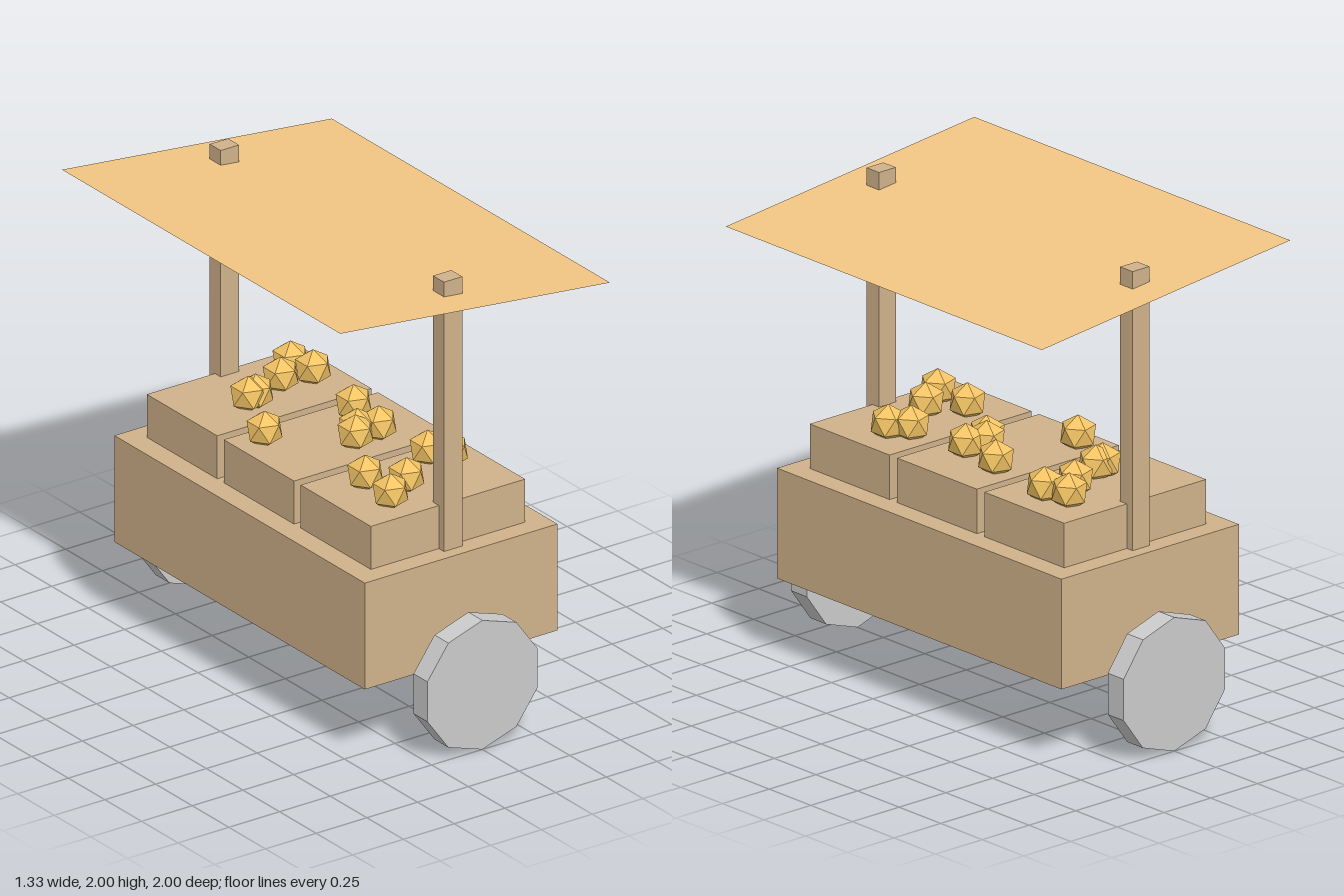
import * as THREE from 'three';

const material = (color, side = THREE.FrontSide) =>
  new THREE.MeshStandardMaterial({ color, side, flatShading: true });

export function createModel() {
  const cart = new THREE.Group();
  cart.name = 'marketCart';

  const wood = material(0xd0b28a);
  const cloth = material(0xf2c684, THREE.DoubleSide);
  const fruitSkin = material(0xf4c464);
  const grey = material(0xcccccc);

  const add = (name, geometry, mat, x, y, z) => {
    const mesh = new THREE.Mesh(geometry, mat);
    mesh.name = name;
    mesh.position.set(x, y, z);
    cart.add(mesh);
    return mesh;
  };

  // Cart body
  add('body', new THREE.BoxGeometry(0.95, 0.47, 1.71), wood, 0, 0.575, 0);

  // Three crates in a row along the body
  const crateGeometry = new THREE.BoxGeometry(0.76, 0.19, 0.48);
  for (const z of [0.525, 0, -0.525]) add('crate', crateGeometry, wood, 0, 0.905, z);

  // One wheel and one canopy post at each end
  const wheelGeometry = new THREE.CylinderGeometry(0.285, 0.285, 0.095, 10).rotateX(Math.PI / 2);
  const postGeometry = new THREE.BoxGeometry(0.09, 1.19, 0.075);
  for (const [end, s] of [['front', 1], ['back', -1]]) {
    const wheel = add(end + 'Wheel', wheelGeometry, grey, 0, 0.285, s * 0.9525);
    if (s < 0) wheel.rotation.y = Math.PI;
    add(end + 'Post', postGeometry, wood, 0, 1.405, s * 0.7625);
  }

  // Flat canopy sheet, sloping down to the left, pierced by the posts
  const canopy = add('canopy', new THREE.PlaneGeometry(1.337, 1.9).rotateX(-Math.PI / 2), cloth, 0, 1.93, 0);
  canopy.rotation.z = -Math.atan(0.14 / 1.33);

  // Fruit: icosahedrons standing on a corner, sunk a little into the crates
  const tilt = Math.atan(2 / (1 + Math.sqrt(5)));
  const fruitGeometry = new THREE.IcosahedronGeometry(0.08, 0).rotateZ(-tilt);
  const fruitSpots = [
    // front crate
    [-0.19, 0.635], [-0.05, 0.55], [-0.17, 0.435], [0.17, 0.39], [0.23, 0.46],
    // middle crate
    [-0.255, -0.135], [0.02, 0.105], [0.06, 0.06], [0.145, 0.09], [0.18, -0.13],
    // back crate
    [-0.115, -0.44], [-0.08, -0.44], [0.095, -0.51], [0.215, -0.61], [0.24, -0.49],
  ];
  for (const [x, z] of fruitSpots) add('fruit', fruitGeometry, fruitSkin, x, 1.053, z);

  return cart;
}
